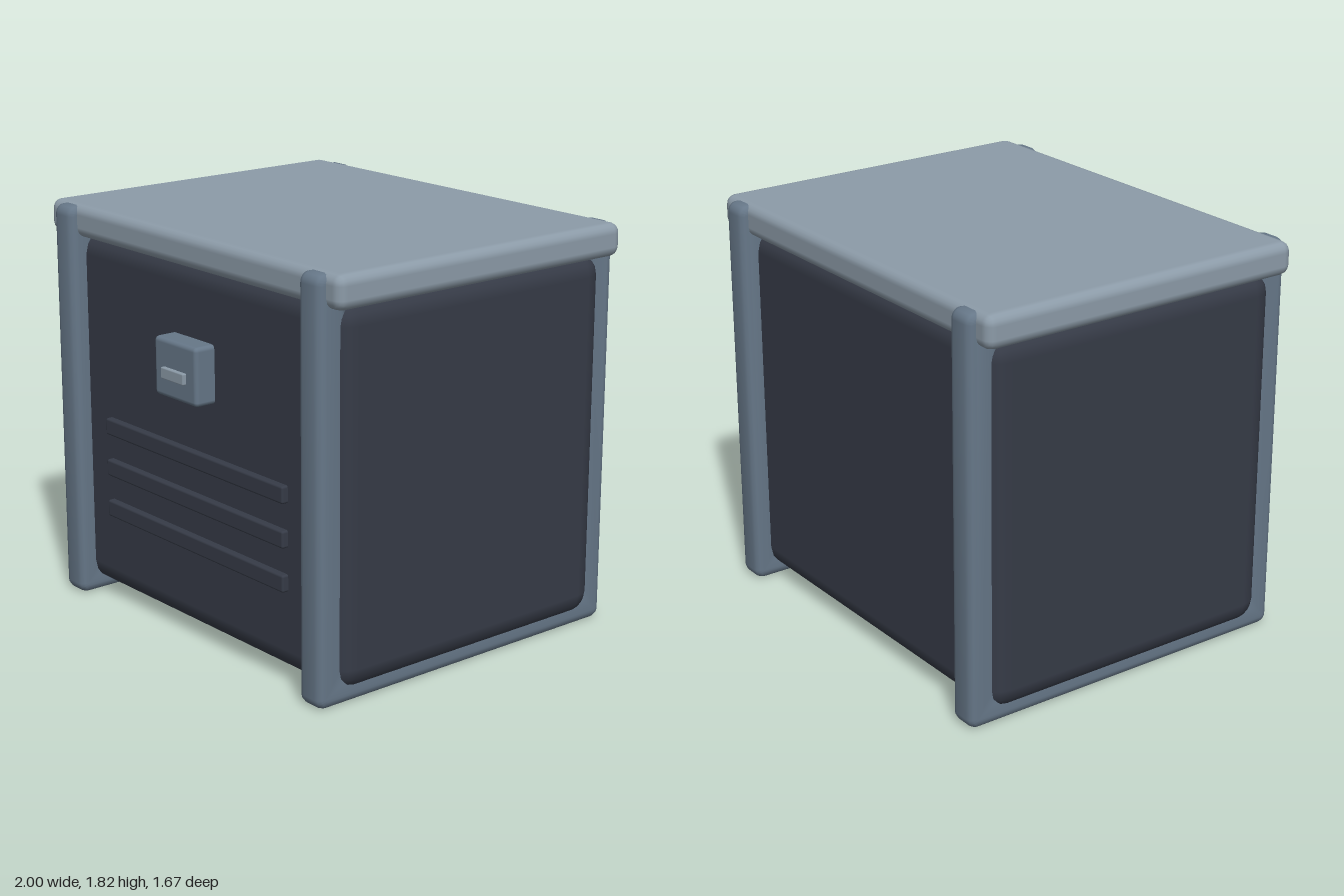
import * as THREE from 'three';
import { toCreasedNormals } from 'three/addons/utils/BufferGeometryUtils.js';
import { RoundedBoxGeometry } from 'three/addons/geometries/RoundedBoxGeometry.js';

const MID_Z = -0.02; // the case sits slightly behind the centre, as the latch sticks out in front

function material(name, color) {
  const m = new THREE.MeshStandardMaterial({ color });
  m.name = name;
  return m;
}

// Box with soft edges, given by its lower and upper corners
function softBox(name, mat, min, max, radius, segments = 2) {
  const [w, h, d] = max.map((v, i) => v - min[i]);
  const mesh = new THREE.Mesh(new RoundedBoxGeometry(w, h, d, segments, radius), mat);
  mesh.position.set(...max.map((v, i) => (v + min[i]) / 2));
  mesh.name = name;
  return mesh;
}

// Traces a rounded rectangle on a Shape or Path
function roundedRect(path, x0, y0, x1, y1, r) {
  path.absarc(x1 - r, y0 + r, r, -Math.PI / 2, 0);
  path.absarc(x1 - r, y1 - r, r, 0, Math.PI / 2);
  path.absarc(x0 + r, y1 - r, r, Math.PI / 2, Math.PI);
  path.absarc(x0 + r, y0 + r, r, Math.PI, Math.PI * 1.5);
  path.closePath();
  return path;
}

// Rectangular hoop with bevelled edges, standing in the y-z plane
function hoopGeometry(width) {
  const halfDepth = 0.818, top = 1.81, bar = 0.15, bevel = 0.035;
  const shape = roundedRect(new THREE.Shape(), -halfDepth, 0, halfDepth, top, 0.045);
  shape.holes.push(roundedRect(new THREE.Path(), -halfDepth + bar, bar, halfDepth - bar, top - bar, 0.02));
  const geo = new THREE.ExtrudeGeometry(shape, {
    depth: width - 2 * bevel, bevelThickness: bevel, bevelSize: bevel,
    bevelOffset: -bevel, bevelSegments: 3, curveSegments: 4,
  });
  geo.translate(0, 0, bevel - width / 2);
  geo.rotateY(Math.PI / 2);
  return toCreasedNormals(geo, 0.7);
}

export function createModel() {
  const dark = material('dark slate', 0x363b47);
  const steel = material('steel grey', 0x667788);
  const pale = material('pale grey', 0x8c9ba8);
  const model = new THREE.Group();
  model.name = 'storageCrate';

  // Body and lid
  model.add(softBox('body', dark, [-0.955, 0.048, -0.76], [0.955, 1.695, 0.72], 0.105));
  model.add(softBox('lid', pale, [-1, 1.67, -0.803], [1, 1.817, 0.763], 0.045));

  // Frame hoops around both ends
  const hoop = hoopGeometry(0.137);
  for (const side of [1, -1]) {
    const mesh = new THREE.Mesh(hoop, steel);
    mesh.name = side > 0 ? 'leftFrame' : 'rightFrame';
    mesh.position.set(side * 0.852, 0, MID_Z);
    model.add(mesh);
  }

  // Raised ribs on the front
  for (let i = 0; i < 3; i++) {
    const y = 0.455 + i * 0.192;
    model.add(softBox(`rib${i + 1}`, dark, [-0.627, y - 0.038, 0.69], [0.627, y + 0.038, 0.75], 0.01));
  }

  // Latch plate and tab
  model.add(softBox('latchPlate', steel, [-0.147, 1.11, 0.7], [0.147, 1.367, 0.818], 0.02));
  model.add(softBox('latchTab', pale, [-0.079, 1.196, 0.79], [0.079, 1.246, 0.836], 0.006, 1));

  return model;
}
